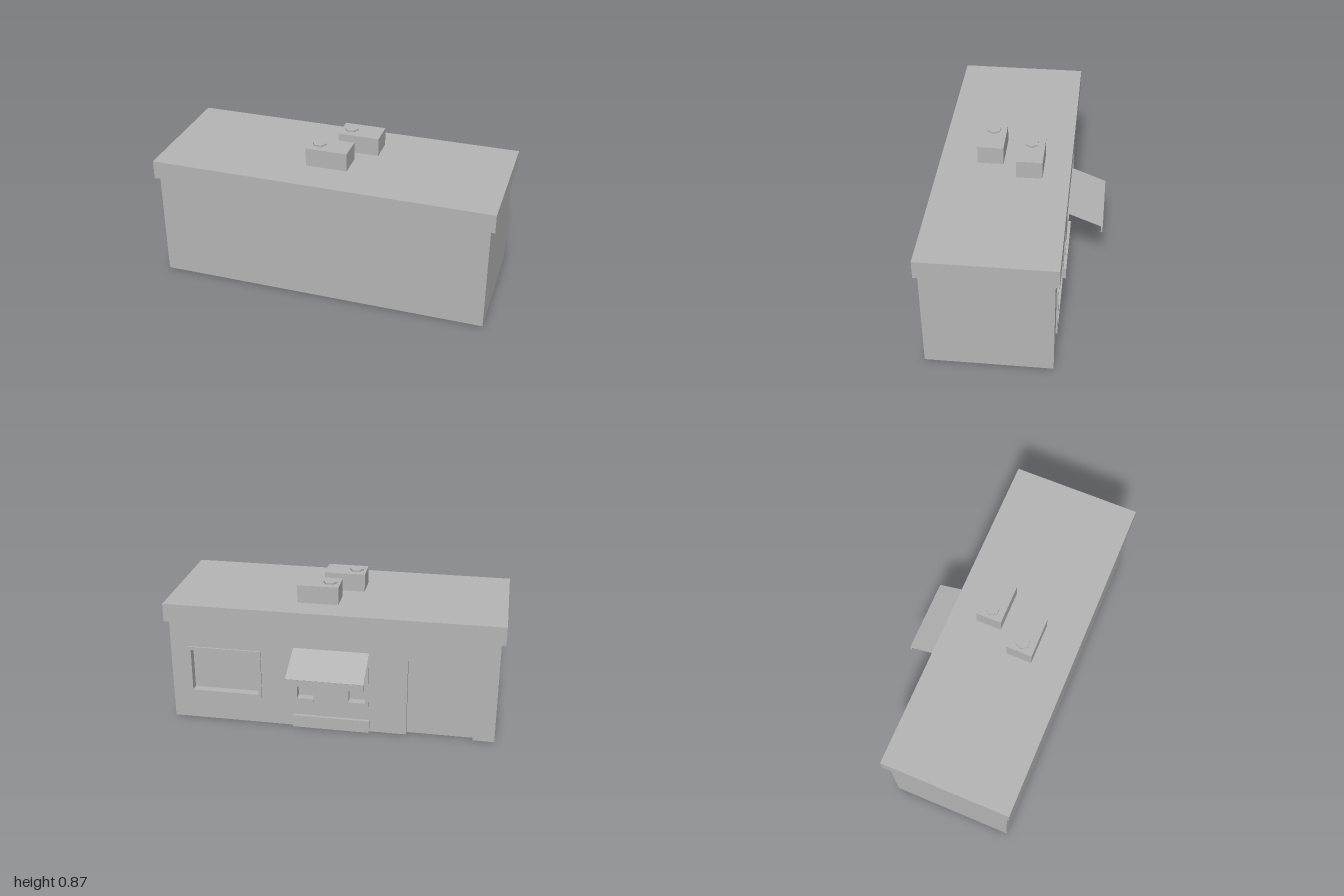
import * as THREE from 'three';

export function createModel() {
  const model = new THREE.Group();
  model.name = 'shopBuilding';
  const grey = new THREE.MeshStandardMaterial({ color: 0xb4b4b4 });
  grey.name = 'plain grey';

  const add = (name, geometry) => {
    const mesh = new THREE.Mesh(geometry, grey);
    mesh.name = name;
    model.add(mesh);
    return mesh;
  };
  // Box given by its minimum and maximum on each axis
  const box = (name, x0, x1, y0, y1, z0, z1) =>
    add(name, new THREE.BoxGeometry(x1 - x0, y1 - y0, z1 - z0))
      .position.set((x0 + x1) / 2, (y0 + y1) / 2, (z0 + z1) / 2);
  const polygon = (points, Type = THREE.Shape) =>
    new Type(points.map(([x, y]) => new THREE.Vector2(x, y)));
  const rect = (x0, x1, y0, y1, Type) =>
    polygon([[x0, y0], [x1, y0], [x1, y1], [x0, y1]], Type);
  const extrude = (name, shape, z0, z1) => {
    const geometry = new THREE.ExtrudeGeometry(shape, { depth: z1 - z0, bevelEnabled: false });
    add(name, geometry).position.z = z0;
  };

  const WALL = -0.26, RECESS = -0.22, FRAME = -0.27;
  const W = 0.02; // window frame width
  const sill = 0.17, head = 0.476;
  const windows = [[0.423, 0.87], [-0.225, 0.225]];

  // Main block and flat roof
  box('walls', -0.975, 0.975, 0, 0.64, RECESS, 0.465);
  box('roof', -1, 1, 0.638, 0.748, -0.283, 0.485);

  // Shop wall with a door recess and window openings
  const wall = polygon([
    [-0.975, 0], [-0.848, 0], [-0.848, 0.487], [-0.452, 0.487],
    [-0.452, 0], [0.975, 0], [0.975, 0.638], [-0.975, 0.638],
  ]);
  for (const [x0, x1] of windows) {
    wall.holes.push(rect(x0 + W, x1 - W, sill + W, head - W, THREE.Path));
  }
  extrude('shopWall', wall, WALL, RECESS);
  box('door', -0.848, -0.452, 0, 0.487, -0.23, RECESS);

  // Side window frame
  const [sx0, sx1] = windows[0];
  const frame = rect(sx0, sx1, sill, head);
  frame.holes.push(rect(sx0 + W, sx1 - W, sill + W, head - W, THREE.Path));
  extrude('sideWindowFrame', frame, FRAME, WALL);

  // Serving window: frame broken by a flush centre panel
  const P = 0.105, S = 0.225;
  extrude('servingWindowFrame', polygon([
    [-P, sill], [-P, sill + W], [-S + W, sill + W], [-S + W, head - W],
    [S - W, head - W], [S - W, sill + W], [P, sill + W], [P, sill],
    [S, sill], [S, head], [-S, head], [-S, sill],
  ]), FRAME, WALL);
  box('servingPanel', -P, P, 0.07, 0.35, -0.262, RECESS);
  box('step', -0.232, 0.232, 0, 0.077, -0.28, WALL);

  // Sloping awning sheet with a hanging front flap
  const rise = 0.515 - 0.422, reach = 0.485 - 0.26;
  const awning = add('awning', new THREE.BoxGeometry(0.45, 0.003, Math.hypot(rise, reach)));
  awning.position.set(0, (0.515 + 0.422) / 2, -(0.485 + 0.26) / 2);
  awning.rotation.x = -Math.atan2(rise, reach);
  box('awningFlap', -0.225, 0.225, 0.382, 0.422, -0.485, -0.475);

  // Rooftop cooling units with six-sided fan caps
  for (const [x, z, fanX] of [[-0.018, 0.187, -0.08], [0.102, -0.05, 0.04]]) {
    box('coolingUnit', x - 0.122, x + 0.122, 0.748, 0.857, z - 0.076, z + 0.076);
    const fan = add('fanCap', new THREE.CylinderGeometry(0.042, 0.042, 0.012, 6));
    fan.material = grey;
    fan.geometry = fan.geometry.toNonIndexed();
    fan.geometry.computeVertexNormals();
    fan.rotation.y = Math.PI / 6;
    fan.position.set(fanX, 0.862, z);
  }
  return model;
}
